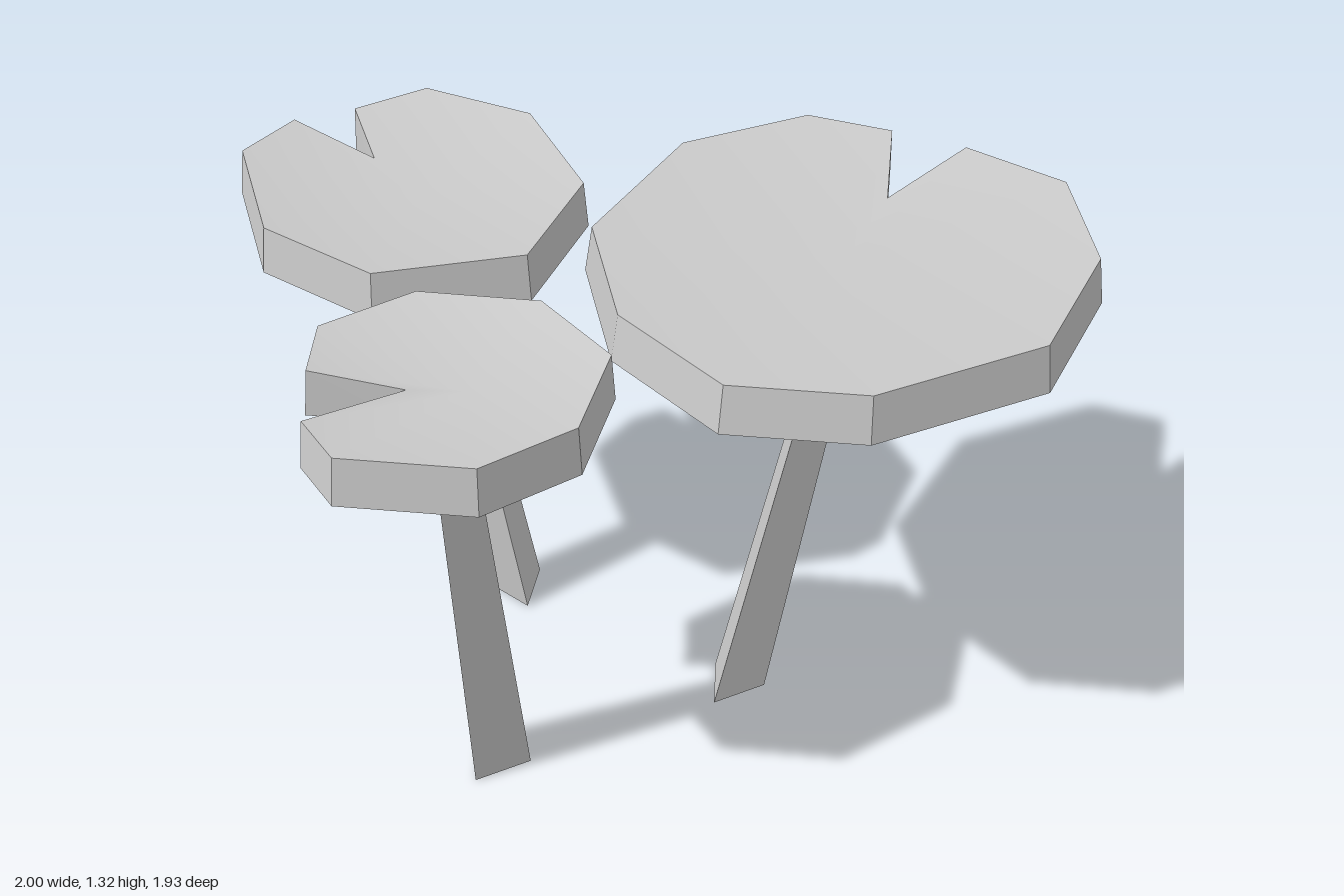
import * as THREE from 'three';

const TOP = 1.32, BOTTOM = 1.2;

// Outlines are [x, z] corners at the lower rim; the first one is the tip of the notch.
// Stems are triangular: foot and head are [x, z, radius], turn is the angle of one corner.
const LEAVES = [
  {
    name: 'large', centre: [0.4, 0.35],
    outline: [[0.66, 0.247], [0.94, 0.252], [0.998, 0.53], [0.79, 0.81], [0.425, 0.962], [-0.01, 0.83],
      [-0.227, 0.58], [-0.215, 0.22], [-0.01, -0.1], [0.425, -0.243], [0.76, -0.13], [0.863, 0.07]],
    foot: [0.176, 0.253, 0.086], head: [0.392, 0.365, 0.051], turn: 45,
  },
  {
    name: 'back', centre: [-0.16, -0.54],
    outline: [[-0.15, -0.73], [-0.07, -0.912], [0.135, -0.872], [0.25, -0.59], [0.125, -0.24], [-0.19, -0.085],
      [-0.515, -0.27], [-0.583, -0.6], [-0.41, -0.932], [-0.22, -0.97]],
    foot: [0.018, -0.423, 0.09], head: [-0.153, -0.517, 0.053], turn: -7,
  },
  {
    name: 'small', centre: [-0.58, 0.16],
    outline: [[-0.7, 0.092], [-0.85, -0.075], [-0.725, -0.198], [-0.47, -0.16], [-0.28, 0.065], [-0.305, 0.335],
      [-0.54, 0.49], [-0.795, 0.455], [-1, 0.22], [-0.97, 0.07]],
    foot: [-0.462, 0.058, 0.088], head: [-0.648, 0.162, 0.054], turn: 45,
  },
];

function makeMesh(name, positions, index, flat) {
  const geo = new THREE.BufferGeometry();
  geo.setAttribute('position', new THREE.Float32BufferAttribute(positions, 3));
  geo.setIndex(index);
  geo.computeVertexNormals();
  const mesh = new THREE.Mesh(geo, new THREE.MeshStandardMaterial({ color: 0xcccccc, flatShading: flat }));
  mesh.name = name;
  return mesh;
}

// Leaf pad: dished top fan, slightly flared rim, flat underside
function makePad({ centre: [cx, cz], outline, name }) {
  const n = outline.length;
  const upper = outline.map(([x, z], i) => [
    cx + (x - cx) * 0.973, i === 0 ? TOP - 0.035 : TOP, cz + (z - cz) * 0.973]);
  const lower = outline.map(([x, z]) => [x, BOTTOM, z]);
  const topIndex = [], rimIndex = [];
  for (let i = 0; i < n; i++) {
    const j = (i + 1) % n;
    topIndex.push(n, j, i);
    rimIndex.push(i, n + i, n + j, i, n + j, j, 2 * n, i, j);
  }
  const pad = new THREE.Group();
  pad.name = name + 'LeafPad';
  pad.add(
    makeMesh('leafTop', [...upper, [cx, TOP - 0.06, cz]].flat(), topIndex, false),
    makeMesh('leafRim', [...lower, ...upper, [cx, BOTTOM, cz]].flat(), rimIndex, true),
  );
  return pad;
}

// Stem: open three-sided tapered tube, sheared from foot to head
function makeStem({ foot, head, turn, name }) {
  const height = BOTTOM;
  const theta = THREE.MathUtils.degToRad(90 - turn);
  const geo = new THREE.CylinderGeometry(head[2], foot[2], height, 3, 1, true, theta);
  geo.translate(0, height / 2, 0);
  const p = geo.attributes.position;
  for (let i = 0; i < p.count; i++) {
    const t = p.getY(i) / height;
    p.setX(i, p.getX(i) + THREE.MathUtils.lerp(foot[0], head[0], t));
    p.setZ(i, p.getZ(i) + THREE.MathUtils.lerp(foot[1], head[1], t));
  }
  geo.computeVertexNormals();
  const mesh = new THREE.Mesh(geo, new THREE.MeshStandardMaterial({
    color: 0xcccccc, flatShading: true, side: THREE.DoubleSide }));
  mesh.name = name + 'Stem';
  return mesh;
}

export function createModel() {
  const model = new THREE.Group();
  model.name = 'lilyPads';
  for (const leaf of LEAVES) model.add(makePad(leaf), makeStem(leaf));
  return model;
}
